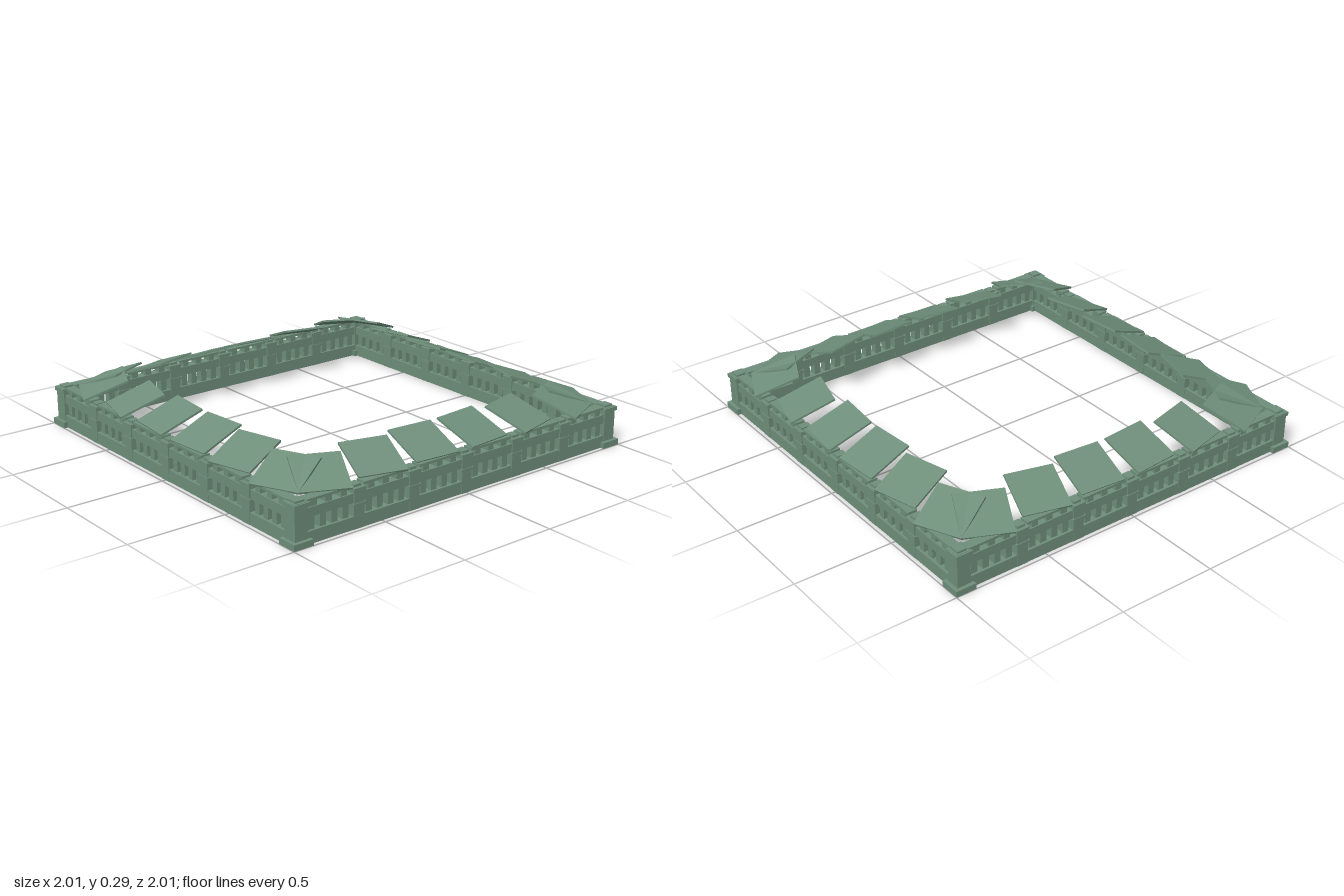
import * as THREE from 'three';

const stone = new THREE.MeshStandardMaterial({ color: 0x6f8f7b });
stone.name = 'weatheredGreen';

// Box with its bottom at y0 and its top at y1
function box(parent, name, w, y0, y1, d, x, z) {
  const mesh = new THREE.Mesh(new THREE.BoxGeometry(w, y1 - y0, d), stone);
  mesh.name = name;
  mesh.position.set(x, (y0 + y1) / 2, z);
  parent.add(mesh);
  return mesh;
}

const WALL = 0.947;   // distance of the wall's centre line
const BAY = 0.316;    // spacing of the posts

// Square pier with a cap and a small finial block
function pier(parent, x) {
  const post = new THREE.Group();
  post.name = 'post';
  post.position.set(x, 0, WALL);
  box(post, 'postShaft', 0.058, 0, 0.185, 0.068, 0, 0);
  box(post, 'postCollar', 0.07, 0.105, 0.12, 0.076, 0, 0);
  box(post, 'postCap', 0.07, 0.172, 0.19, 0.076, 0, 0);
  box(post, 'postFinial', 0.04, 0.19, 0.202, 0.044, 0, 0);
  parent.add(post);
}

// Heavier pier standing on a wide plinth
function cornerPier(parent) {
  const post = new THREE.Group();
  post.name = 'cornerPost';
  post.position.set(WALL, 0, WALL);
  box(post, 'cornerPlinth', 0.104, 0, 0.03, 0.104, 0.001, 0.001);
  box(post, 'cornerShaft', 0.07, 0.03, 0.2, 0.07, 0, 0);
  box(post, 'cornerCap', 0.084, 0.178, 0.198, 0.084, 0, 0);
  box(post, 'cornerFinial', 0.05, 0.198, 0.21, 0.05, 0, 0);
  parent.add(post);
}

// Square roof panel, rising toward the inside and fanned outward
function roofPanel(parent, x, turn) {
  const panel = box(parent, 'roofPanel', 0.238, 0.241, 0.251, 0.238, x, 0.85);
  panel.rotation.order = 'YXZ';
  panel.rotation.y = THREE.MathUtils.degToRad(turn);
  panel.rotation.x = THREE.MathUtils.degToRad(20.5);
}

function createSide() {
  const side = new THREE.Group();
  side.name = 'wallSide';
  const length = 2 * WALL;
  box(side, 'baseRail', length, 0, 0.06, 0.064, 0, WALL);
  box(side, 'middleRail', length, 0.122, 0.166, 0.056, 0, WALL);

  // Posts between the bays
  for (let i = -2; i <= 2; i++) pier(side, i * BAY);
  cornerPier(side);

  // Balusters below the middle rail and short blocks above it
  for (let bay = 0; bay < 6; bay++) {
    const centre = (bay - 2.5) * BAY;
    for (let i = 0; i < 4; i++) {
      const x = centre + (i - 1.5) * 0.062;
      box(side, 'baluster', 0.033, 0.06, 0.122, 0.04, x, WALL);
    }
    for (let i = 0; i < 3; i++) {
      const x = centre + (i - 1) * 0.082;
      box(side, 'topBlock', 0.034, 0.166, 0.2, 0.044, x, WALL);
    }
    box(side, 'topRail', 0.25, 0.192, 0.204, 0.05, centre, WALL);
  }

  // Roof panels, mirrored about the middle of the side
  for (const s of [-1, 1]) {
    for (const [x, turn] of [[0.15, 5], [0.447, 15], [0.745, 25]]) roofPanel(side, s * x, s * turn);
  }
  return side;
}

export function createModel() {
  const model = new THREE.Group();
  model.name = 'squareColonnade';
  for (let i = 0; i < 4; i++) {
    const side = createSide();
    side.rotation.y = i * Math.PI / 2;
    model.add(side);
  }
  return model;
}
